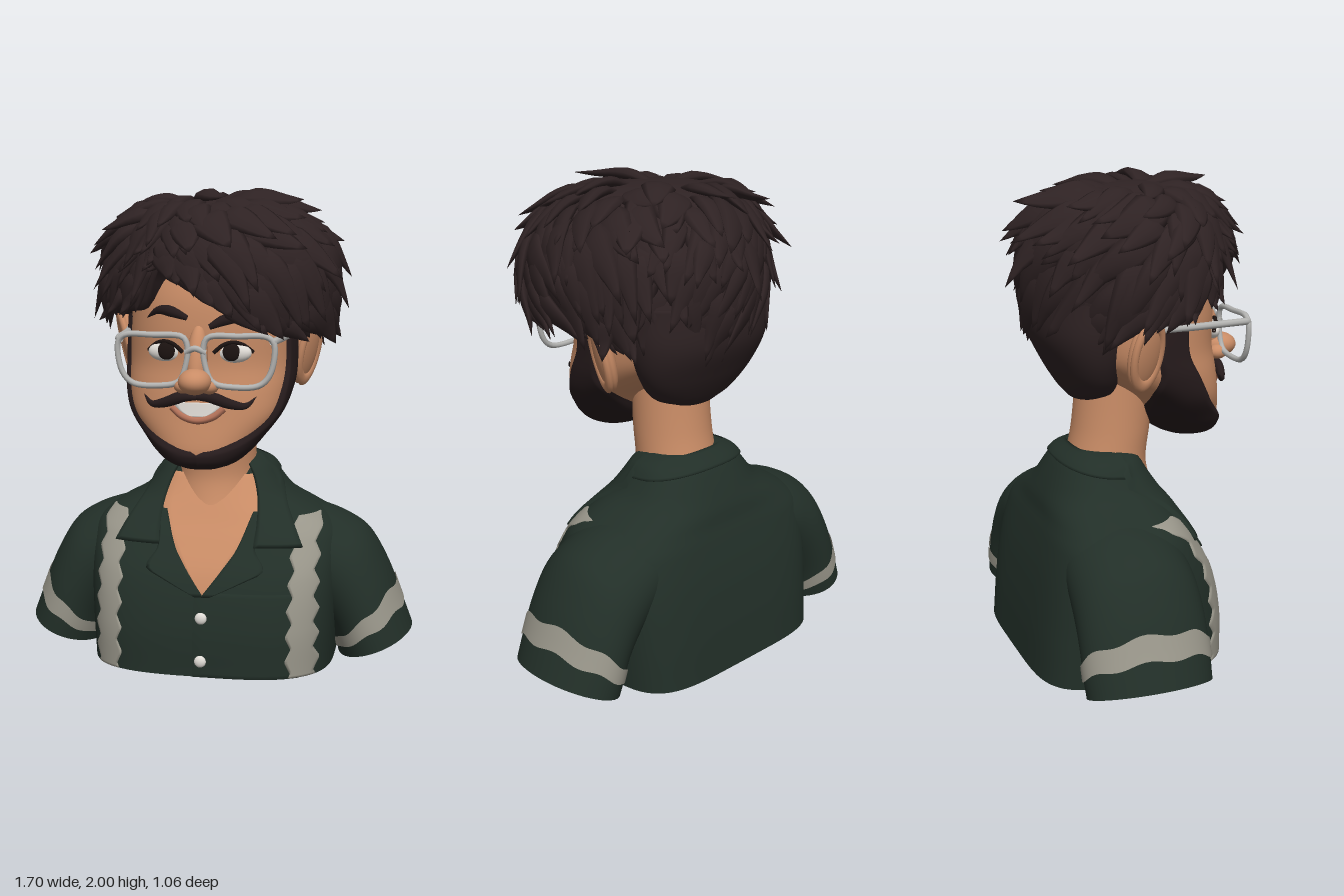
import * as THREE from 'three';
import { mergeGeometries, mergeVertices } from 'three/addons/utils/BufferGeometryUtils.js';

const { sin, cos, abs, sign, min, max, PI } = Math;
const flat = (name, color) => new THREE.MeshStandardMaterial({ name, color, side: THREE.DoubleSide });
const V = (x, y, z) => new THREE.Vector3(x, y, z);
const clamp = (x, a, b) => min(max(x, a), b);
const rnd = i => abs(sin(i * 12.9898 + 4.1) * 43758.5453) % 1;

// Smooth interpolation of table rows, keyed by their first column
function at(t, y) {
  let i = 0;
  while (i < t.length - 2 && y > t[i + 1][0]) i++;
  const a = t[i], b = t[i + 1], p = t[max(i - 1, 0)], n = t[min(i + 2, t.length - 1)];
  const h = b[0] - a[0], s = clamp((y - a[0]) / h, 0, 1), s2 = s * s, s3 = s2 * s;
  return a.map((_, k) => {
    const m0 = (b[k] - p[k]) / (b[0] - p[0]) * h, m1 = (n[k] - a[k]) / (n[0] - a[0]) * h;
    return (2 * s3 - 3 * s2 + 1) * a[k] + (s3 - 2 * s2 + s) * m0 + (3 * s2 - 2 * s3) * b[k] + (s3 - s2) * m1;
  });
}

// Smooth surface from fn(v, u); side -1 mirrors it in x
function grid(nI, nJ, fn, side = 1) {
  const pos = [], idx = [];
  for (let i = 0; i <= nI; i++) for (let j = 0; j <= nJ; j++) {
    const p = fn(i / nI, side > 0 ? j / nJ : 1 - j / nJ, i, j);
    pos.push(p[0] * side, p[1], p[2]);
  }
  for (let i = 0; i < nI; i++) for (let j = 0; j < nJ; j++) {
    const a = i * (nJ + 1) + j, b = a + nJ + 1;
    idx.push(a, a + 1, b + 1, a, b + 1, b);
  }
  let g = new THREE.BufferGeometry();
  g.setAttribute('position', new THREE.Float32BufferAttribute(pos, 3));
  g.setIndex(idx);
  g = mergeVertices(g, 1e-5);
  g.computeVertexNormals();
  return g;
}

// Bodies are stacks of rounded rings: [y, half width, front z, back z, front and back squareness]
function body(rings, n) {
  const y0 = rings[0][0], y1 = rings[rings.length - 1][0];
  const point = (y, th, off = 0) => {
    const [, w, f, b, nf = n, nb = n] = at(rings, y), s = sin(th), c = cos(th), k = 2 / (c > 0 ? nf : nb);
    return [sign(s) * abs(s) ** k * (w + off), y, (f + b) / 2 + sign(c) * abs(c) ** k * ((f - b) / 2 + off)];
  };
  const centre = y => { const [, , f, b] = at(rings, y); return [0, y, (f + b) / 2]; };
  const frontZ = (x, y) => {
    const [, w, f, b, nf = n] = at(rings, y), r = min(abs(x) / w, 0.985);
    return (f + b) / 2 + (f - b) / 2 * (1 - r ** nf) ** (1 / nf);
  };
  const loft = (closeBottom = true) => grid(44, 80, (v, u, i) => {
    const y = y0 + (y1 - y0) * clamp((i - 1) / 42, 0, 1);
    return i === 44 || (i === 0 && closeBottom) ? centre(y) : point(y, (u * 2 - 1) * PI);
  });
  // Thin plate laid on the front; edges(y) gives its two x limits
  const drape = (ya, yb, edges, thick, side = 1, nI = 24) => grid(nI, 12, (v, u, i, j) => {
    const y = ya + (yb - ya) * clamp((i - 1) / (nI - 2), 0, 1), [l, r] = edges(y);
    const k = side > 0 ? j : 12 - j, x = l + (r - l) * clamp((k - 1) / 10, 0, 1);
    const rim = i === 0 || i === nI || j === 0 || j === 12;
    return [x, y, frontZ(x, y) + (rim ? -0.004 : thick)];
  }, side);
  return { point, centre, frontZ, loft, drape };
}

// Flattened lock that tapers to a point along a path
function lock(points, n, width, thick, steps = 9, sides = 8) {
  const curve = new THREE.CatmullRomCurve3(points);
  return grid(steps, sides, (v, u) => {
    const c = curve.getPoint(v), t = curve.getTangent(v);
    const s = n.clone().cross(t).normalize(), m = t.cross(s).normalize();
    const r = min(1, 0.45 + v * 1.8) * (1 - v ** 2.4), a = u * 2 * PI;
    return c.addScaledVector(s, cos(a) * width * r).addScaledVector(m, sin(a) * thick * r).toArray();
  });
}

const tube = (pts, r, closed = false) => new THREE.TubeGeometry(new THREE.CatmullRomCurve3(pts, closed), 48, r, 8, closed);

export function createModel() {
  const root = new THREE.Group();
  root.name = 'bust';
  const skin = flat('skin', 0xc98c66), hair = flat('hair', 0x2e2223), beardMat = flat('beard', 0x261b1c);
  const shirt = flat('shirt', 0x222f28), trim = flat('trim', 0x99968a), metal = flat('frame', 0xb4b4b2);
  const white = flat('white', 0xe0dcd6), dark = flat('pupil', 0x1c1311), lipMat = flat('lip', 0xb5735a);
  const add = (name, geo, mat, parent = root) => {
    const m = new THREE.Mesh(geo, mat);
    m.name = name;
    parent.add(m);
    return m;
  };
  const ball = (name, mat, p, s, parent = root) => {
    const m = add(name, new THREE.SphereGeometry(1, 28, 18), mat, parent);
    m.position.set(...p);
    m.scale.set(...s);
    return m;
  };

  // Torso
  const torso = body([[0, 0.52, 0.31, -0.54, 3.2, 4.6], [0.2, 0.53, 0.3, -0.52, 3.2, 4.6], [0.4, 0.54, 0.25, -0.485, 3.1, 4.6],
    [0.55, 0.54, 0.165, -0.445, 2.8, 4], [0.61, 0.5, 0.125, -0.425, 2.7, 3.2], [0.66, 0.42, 0.095, -0.415, 2.6, 2.7],
    [0.71, 0.33, 0.065, -0.395, 2.5, 2.5], [0.78, 0.27, 0.02, -0.36, 2.5, 2.4], [0.84, 0.225, -0.02, -0.32, 2.5, 2.3],
    [0.875, 0.16, -0.06, -0.26, 2.4, 2.3]]);
  add('shirtBody', torso.loft(false), shirt);
  add('shirtHem', grid(1, 80, (v, u) => v ? torso.point(0, (u * 2 - 1) * PI) : torso.centre(0)), shirt);
  const chest = [[0.34, 0.004], [0.45, 0.09], [0.6, 0.185], [0.7, 0.205], [0.8, 0.18]];
  add('chest', torso.drape(0.34, 0.8, y => { const x = at(chest, y)[1]; return [-x, x]; }, 0.007), skin);
  add('frontOverlap', torso.drape(0, 0.35, () => [-0.035, 0.4], 0.004), shirt);
  for (const y of [0.25, 0.07]) ball('button', white, [0, y, torso.frontZ(0, y) + 0.012], [0.025, 0.025, 0.014]);
  add('collarBack', grid(10, 40, (v, u) => {
    const th = (75 + u * 210) * PI / 180;
    return torso.point(0.79 - 0.03 * cos(th) + v * 0.065, th, v === 0 ? 0 : 0.01);
  }), shirt);

  // Collar leaves, lapels, beaded trim and sleeves on both sides
  const leaf = [[0.53, 0.2, 0.4], [0.6, 0.205, 0.365], [0.7, 0.2, 0.31], [0.8, 0.17, 0.265], [0.87, 0.13, 0.19]];
  const lapel = [[0.335, -0.005, 0.03], [0.4, 0.045, 0.17], [0.44, 0.075, 0.245], [0.52, 0.13, 0.205], [0.66, 0.185, 0.215]];
  const sleeveRings = [[0, 0.25, 0.69, 0.25, 0.4, 0.22], [1, 0.45, 0.645, 0.35, 0.3, 0.25], [2, 0.57, 0.6, 0.42, 0.22, 0.258],
    [3, 0.66, 0.535, 0.47, 0.15, 0.262], [4, 0.74, 0.4, 0.5, 0.1, 0.264], [5, 0.8, 0.25, 0.52, 0.04, 0.264], [6, 0.85, 0.12, 0.53, 0, 0.26]];
  const sleeve = (t, a, off = 0) => {
    const [, ox, oy, ix, iy, d] = at(sleeveRings, t), k = 0.5 * cos(a) * (1 + off * 5);
    return [(ox + ix) / 2 + (ox - ix) * k, (oy + iy) / 2 + (oy - iy) * k, -0.185 + sin(a) * (d + off)];
  };
  for (const s of [1, -1]) {
    add('collarLeaf', torso.drape(0.53, 0.87, y => at(leaf, y).slice(1), 0.024, s), shirt);
    add('lapel', torso.drape(0.335, 0.66, y => at(lapel, y).slice(1), 0.016, s), shirt);
    add('beadedTrim', torso.drape(0.003, 0.64, y => {
      const h = 0.036 + 0.05 * abs((y / 0.105 + 0.3) % 1 - 0.5) + 0.008 * (1 - y / 0.64);
      return [0.412 - h, 0.412 + h];
    }, 0.009, s, 70), trim);
    add('sleeve', grid(36, 48, (v, u) => sleeve(v * 6, u * 2 * PI), s), shirt);
    add('sleeveOpening', grid(1, 48, (v, u) => v ? [0.69, 0.06, -0.185] : sleeve(6, u * 2 * PI), s), shirt);
    add('sleeveBand', grid(8, 72, (v, u) => sleeve(4.5 + v * 0.65 + 0.06 * sin(u * 2 * PI * 7), u * 2 * PI, 0.006), s), trim);
  }

  // Neck and head
  add('neck', body([[0.5, 0.17, 0.17, -0.3], [0.6, 0.18, 0.125, -0.3], [0.7, 0.185, 0.083, -0.3], [0.8, 0.172, 0.062, -0.285],
    [0.95, 0.165, 0.08, -0.255], [1.2, 0.16, 0.1, -0.23]], 2).loft(), skin);
  const head = body([[0.885, 0.06, 0.32, 0.22], [0.905, 0.12, 0.36, 0.15], [0.95, 0.18, 0.378, 0.08], [1, 0.225, 0.375, 0.03],
    [1.1, 0.3, 0.36, -0.05], [1.2, 0.335, 0.35, -0.2], [1.3, 0.345, 0.335, -0.33], [1.45, 0.345, 0.34, -0.4],
    [1.6, 0.33, 0.32, -0.41], [1.75, 0.28, 0.25, -0.36], [1.86, 0.18, 0.13, -0.24]], 2.2);
  add('head', head.loft(), skin);
  const onFace = (x, y, lift) => V(x, y, head.frontZ(x, y) + lift);

  // Beard along the jaw: [y, front angle, rear angle]
  const beard = [[0.885, 0, 180], [0.955, 0, 180], [0.985, 22, 175], [1.02, 43, 165], [1.06, 57, 152], [1.1, 64, 138],
    [1.2, 67, 104], [1.3, 68, 92], [1.48, 66, 86]];
  for (const s of [1, -1]) add('beard', grid(44, 30, (v, u, i) => {
    const y = 0.885 + 0.595 * max(i - 1, 0) / 43, [, a, b] = at(beard, y), f = max(a, 0);
    if (i === 0) return [0, 0.88, head.centre(y)[2]];
    const soft = min(1, b < 178 ? (1 - u) * 7 : 1, f > 2 ? u * 7 : 1);
    return head.point(y, (f + (b - f) * u) * PI / 180, -0.003 + 0.017 * soft);
  }, s), beardMat);

  // Face
  const face = new THREE.Group();
  face.name = 'face';
  root.add(face);
  const Z = V(0, 0, 1);
  for (const s of [1, -1]) {
    const x = s * 0.137, z = head.frontZ(x, 1.36);
    ball('eye', white, [x, 1.357, z - 0.006], [0.072, 0.04, 0.03], face);
    ball('pupil', dark, [x - s * 0.006, 1.362, z + 0.018], [0.035, 0.036, 0.011], face);
    add('lashes', tube([-0.075, -0.038, 0, 0.038, 0.075].map(d =>
      V(x + d, 1.357 + 0.043 * (1 - (d / 0.077) ** 2), head.frontZ(x + d, 1.38) + 0.014)), 0.008), dark, face);
    ball('nostril', skin, [s * 0.052, 1.232, 0.385], [0.038, 0.032, 0.042], face);
    add('moustache', lock([[0, 1.185, 0.025], [0.06, 1.185, 0.03], [0.13, 1.16, 0.026], [0.19, 1.15, 0.022], [0.23, 1.185, 0.018]]
      .map(([a, b, c]) => onFace(a * s, b, c)), Z, 0.025, 0.022, 16, 10), beardMat, face);

    // Ear
    const ear = new THREE.Group();
    ear.name = 'ear';
    ear.position.set(s * 0.378, 1.335, -0.085);
    ear.rotation.set(0, -0.4 * s, -0.22 * s);
    root.add(ear);
    ball('earShell', skin, [0, 0, 0], [0.036, 0.155, 0.085], ear);
    const rim = add('earRim', new THREE.TorusGeometry(0.07, 0.016, 10, 32), skin, ear);
    rim.rotation.y = PI / 2;
    rim.scale.y = 1.85;
    rim.position.x = s * 0.018;
  }
  ball('noseTip', skin, [0, 1.252, 0.415], [0.066, 0.052, 0.075], face);
  ball('noseBridge', skin, [0, 1.335, 0.365], [0.042, 0.14, 0.045], face).rotation.x = -0.32;
  for (const pts of [[[-0.045, 1.495], [-0.12, 1.52], [-0.17, 1.52], [-0.225, 1.485]], [[0.045, 1.46], [0.11, 1.49], [0.17, 1.49], [0.225, 1.45]]])
    add('eyebrow', lock(pts.map(([x, y]) => onFace(x, y, 0.008)), Z, 0.024, 0.016, 12, 8), beardMat, face);
  const smile = [[1.105, 0.035], [1.13, 0.08], [1.16, 0.1]];
  add('teeth', head.drape(1.105, 1.16, y => { const x = at(smile, y)[1]; return [-x, x]; }, 0.009), white, face);
  add('lowerLip', tube([[-0.105, 1.14], [-0.06, 1.105], [0, 1.09], [0.06, 1.105], [0.105, 1.14]]
    .map(([x, y]) => onFace(x, y, 0.004)), 0.015), lipMat, face);

  // Glasses
  const glasses = new THREE.Group();
  glasses.name = 'glasses';
  root.add(glasses);
  const rimPts = [[0.032, 1.39], [0.05, 1.425], [0.17, 1.432], [0.285, 1.43], [0.31, 1.405], [0.297, 1.29], [0.255, 1.242],
    [0.15, 1.232], [0.07, 1.248], [0.042, 1.3]];
  for (const s of [1, -1]) {
    add('lensRim', tube(rimPts.map(([x, y]) => V(s * x, y, 0.4)), 0.012, true), metal, glasses);
    add('temple', tube([V(s * 0.302, 1.412, 0.402), V(s * 0.31, 1.414, 0.39), V(s * 0.335, 1.415, 0.15), V(s * 0.365, 1.42, -0.06)], 0.015), metal, glasses);
  }
  add('bridge', tube([V(-0.04, 1.365, 0.4), V(0, 1.382, 0.41), V(0.04, 1.365, 0.4)], 0.012), metal, glasses);

  // Cropped hair at the nape
  add('napeHair', body([[1.09, 0.1, -0.14, -0.27], [1.13, 0.2, -0.1, -0.305], [1.24, 0.29, -0.08, -0.37], [1.38, 0.335, -0.05, -0.43],
    [1.55, 0.34, -0.05, -0.43]], 2.2).loft(), hair);

  // Hair dome, fuller on the swept side: [azimuth, hairline y, radius]
  const plan = [[-180, 1.39, 0.45], [-135, 1.4, 0.45], [-100, 1.46, 0.475], [-75, 1.5, 0.44], [-55, 1.51, 0.375], [-42, 1.54, 0.365],
    [-30, 1.68, 0.375], [-12, 1.62, 0.405], [5, 1.56, 0.435], [22, 1.49, 0.475], [45, 1.44, 0.5], [70, 1.43, 0.495], [92, 1.45, 0.45],
    [135, 1.4, 0.405], [180, 1.39, 0.45]];
  const around = phi => at(plan, ((phi * 180 / PI + 180) % 360 + 360) % 360 - 180);
  const cy = 1.62, e = 0.84, pw = (x, k) => sign(x) * abs(x) ** k, height = c => c > 0 ? 0.345 : 0.42;
  const dome = (phi, psi, lift = 0) => {
    const c = pw(cos(psi), e), skew = c > 0 ? -0.05 * c * c : 0;
    const r = pw(sin(psi), e) * (1 - 0.3 * min(c, 0) ** 2) * (around(phi)[2] + lift);
    return V(0.03 + skew + r * sin(phi), cy + c * (height(c) + lift), 0.015 + r * cos(phi));
  };
  const psiEnd = phi => {
    const d = around(phi)[1] - cy;
    return Math.acos(pw(d / height(d), 1 / e));
  };
  add('hairBase', grid(25, 72, (v, u, i) => {
    const phi = (u * 2 - 1) * PI;
    return dome(phi, psiEnd(phi) * (1 - max(i - 1, 0) / 24), i === 0 ? -0.13 : 0).toArray();
  }), hair);

  // Layered locks sweeping away from the parting, with tips flicked out
  const locks = [], count = 230;
  for (let i = 0; i < count; i++) {
    const phi = i * 2.39996, end = psiEnd(phi), front = max(cos(phi), 0);
    const psi = 0.02 + 0.93 * Math.acos(1 - (i + 0.5) / count * (1 - cos(end)));
    const turn = 0.45 * sin(phi + 0.52) + 0.5 * (rnd(i + 500) - 0.5) * (1 - 0.5 * front);
    const len = min(0.45 + 0.3 * rnd(i), psiEnd(phi + turn) - 0.02 + 0.1 * rnd(i + 300) * (1 - front) - psi);
    if (len < 0.1) continue;
    const flare = 0.03 + 0.085 * rnd(i + 900) ** 1.5 * (1 - 0.4 * front), bump = 0.018 + 0.025 * rnd(i + 40);
    const pts = [0, 0.25, 0.5, 0.75, 1].map(t =>
      dome(phi + turn * t, psi + len * t, -0.014 + bump * sin(PI * min(t, 0.6)) + flare * t ** 3));
    const n = dome(phi, psi + len / 2).sub(V(0.03, cy - 0.05, 0.02)).normalize();
    locks.push(lock(pts, n, min(0.055 + 0.035 * rnd(i + 70), len * 0.25), 0.026));
  }
  add('hairLocks', mergeGeometries(locks), hair);
  return root;
}
